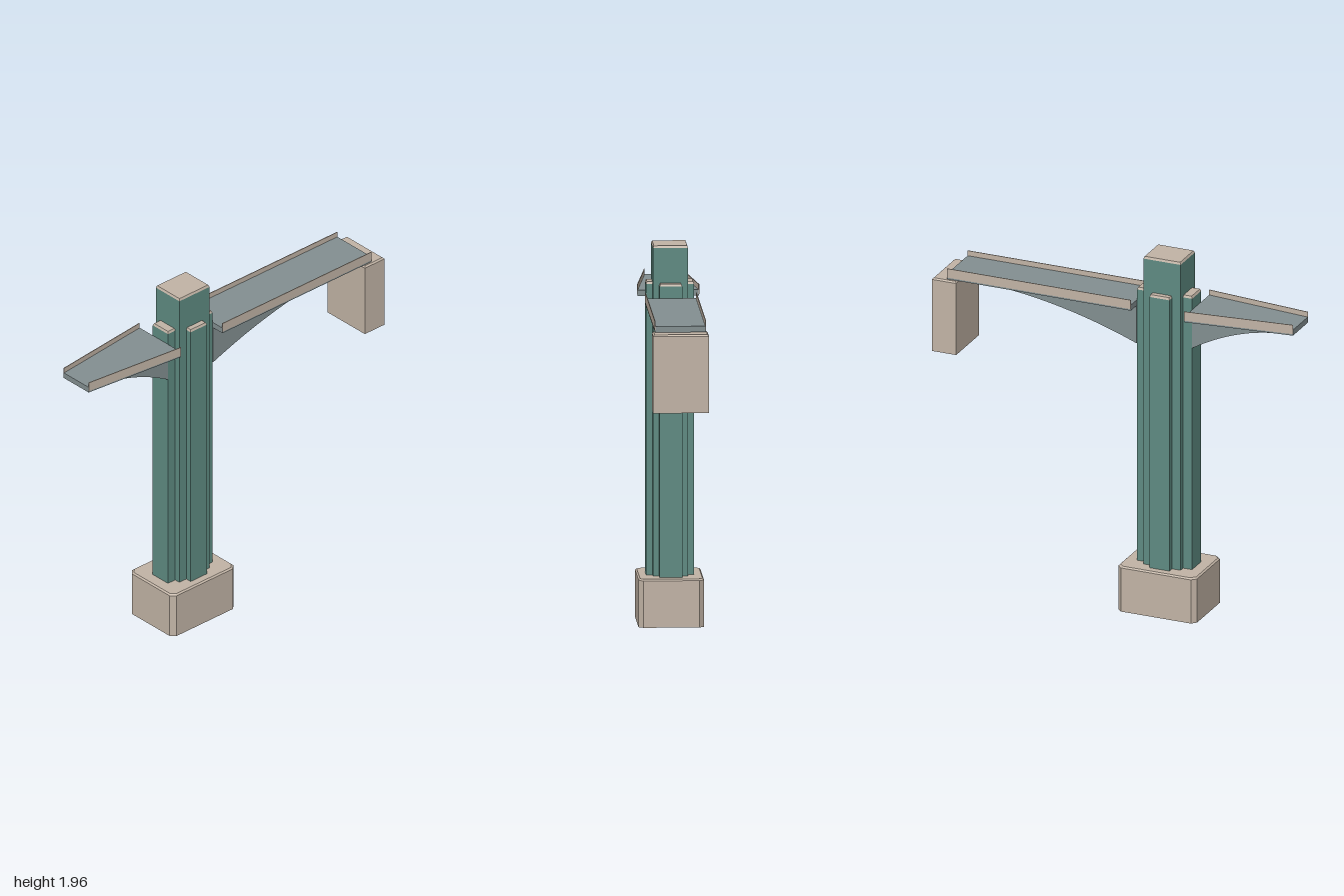
import * as THREE from 'three';

const material = (name, color, side = THREE.DoubleSide) => {
  const m = new THREE.MeshStandardMaterial({ color, side });
  m.name = name;
  return m;
};

// Rectangle outline, optionally with cut corners, as [x, z] pairs
function outline(hx, hz, cut = 0) {
  if (!cut) return [[-hx, hz], [hx, hz], [hx, -hz], [-hx, -hz]];
  return [
    [-hx + cut, hz], [hx - cut, hz], [hx, hz - cut], [hx, -hz + cut],
    [hx - cut, -hz], [-hx + cut, -hz], [-hx, -hz + cut], [-hx, hz - cut],
  ];
}

// Faceted walls through stacked outlines, with optional end caps
function loft(rings, { top = true, bottom = false } = {}) {
  const pos = [];
  const put = (...list) => list.forEach(([p, y]) => pos.push(p[0], y, p[1]));
  const n = rings[0].points.length;
  for (let r = 0; r + 1 < rings.length; r++) {
    const a = rings[r], b = rings[r + 1];
    for (let i = 0; i < n; i++) {
      const j = (i + 1) % n;
      put([a.points[i], a.y], [a.points[j], a.y], [b.points[j], b.y]);
      put([a.points[i], a.y], [b.points[j], b.y], [b.points[i], b.y]);
    }
  }
  const first = rings[0], last = rings[rings.length - 1];
  for (let i = 1; i + 1 < n; i++) {
    if (top) put([last.points[0], last.y], [last.points[i], last.y], [last.points[i + 1], last.y]);
    if (bottom) put([first.points[0], first.y], [first.points[i + 1], first.y], [first.points[i], first.y]);
  }
  const g = new THREE.BufferGeometry();
  g.setAttribute('position', new THREE.Float32BufferAttribute(pos, 3));
  g.computeVertexNormals();
  return g;
}

export function createModel() {
  const model = new THREE.Group();
  model.name = 'bridgeTower';
  const stone = material('paleStone', 0xc2b4a6);
  const teal = material('tealPaint', 0x5f8b82);
  const slate = material('slateGrey', 0x838f91);

  const add = (name, geometry, mat, parent = model) => {
    const mesh = new THREE.Mesh(geometry, mat);
    mesh.name = name;
    parent.add(mesh);
    return mesh;
  };

  // Hollow stone blocks with a small bevel round the top
  const block = (name, x, hx, hz, y0, y1, cut) => {
    const b = 0.008;
    const mesh = add(name, loft([
      { points: outline(hx, hz, cut), y: y0 },
      { points: outline(hx, hz, cut), y: y1 - b },
      { points: outline(hx - b, hz - b, cut), y: y1 },
    ]), stone);
    mesh.position.x = x;
  };
  block('foundation', -0.265, 0.22, 0.168, 0, 0.25, 0.024);
  block('abutment', 0.932, 0.068, 0.143, 1.255, 1.66, 0);

  // Tower: a tall core with a pilaster on each side, all capped in stone
  const tower = new THREE.Group();
  tower.name = 'tower';
  tower.position.x = -0.265;
  model.add(tower);
  const shaft = (name, x, z, hx, hz, y1) => {
    const t = 0.012, b = 0.005;
    const body = outline(hx, hz);
    const parts = [
      add(name, loft([{ points: body, y: 0.24 }, { points: body, y: y1 - t }], { top: false }), teal, tower),
      add(name + 'Cap', loft([{ points: body, y: y1 - t }, { points: outline(hx - b, hz - b), y: y1 }]), stone, tower),
    ];
    parts.forEach((p) => p.position.set(x, 0, z));
  };
  shaft('core', 0, 0, 0.104, 0.09, 1.957);
  for (const s of [-1, 1]) {
    shaft(s > 0 ? 'frontPilaster' : 'backPilaster', 0, s * 0.104, 0.056, 0.019, 1.765);
    shaft(s > 0 ? 'leftPilaster' : 'rightPilaster', s * 0.127, 0, 0.027, 0.058, 1.765);
  }

  // Spans: slab, thin parapets and a curved rib beneath
  const span = (name, { inner, outer, wIn, wOut, ribEnd, ribLow }) => {
    const group = new THREE.Group();
    group.name = name;
    model.add(group);
    const dir = Math.sign(outer - inner);

    // Slab
    const corners = [[inner, wIn], [outer, wOut], [outer, -wOut], [inner, -wIn]];
    if (dir < 0) corners.reverse();
    add('deck', loft([{ points: corners, y: 1.662 }, { points: corners, y: 1.693 }], { bottom: true }), slate, group);

    // Parapets follow the slab edges
    const length = Math.hypot(outer - inner, wOut - wIn);
    for (const s of [-1, 1]) {
      const rail = add('parapet', new THREE.BoxGeometry(length, 0.05, 0.004), stone, group);
      rail.position.set((inner + outer) / 2, 1.696, s * (wIn + wOut) / 2);
      rail.rotation.y = -Math.atan2(s * (wOut - wIn), outer - inner);
    }

    // Rib deepening towards the tower
    const shape = new THREE.Shape();
    shape.moveTo(inner, 1.665);
    const steps = 14;
    for (let i = 0; i <= steps; i++) {
      const t = i / steps;
      shape.lineTo(inner + (ribEnd - inner) * t, 1.647 - (1.647 - ribLow) * (1 - t) ** 2);
    }
    shape.lineTo(ribEnd, 1.665);
    const rib = new THREE.ExtrudeGeometry(shape, { depth: 0.12, bevelEnabled: false });
    rib.translate(0, 0, -0.06);
    add('rib', rib, slate, group);
  };
  span('longSpan', { inner: -0.108, outer: 0.92, wIn: 0.13, wOut: 0.13, ribEnd: 0.89, ribLow: 1.455 });
  span('shortSpan', { inner: -0.42, outer: -1, wIn: 0.158, wOut: 0.095, ribEnd: -0.97, ribLow: 1.48 });

  return model;
}
